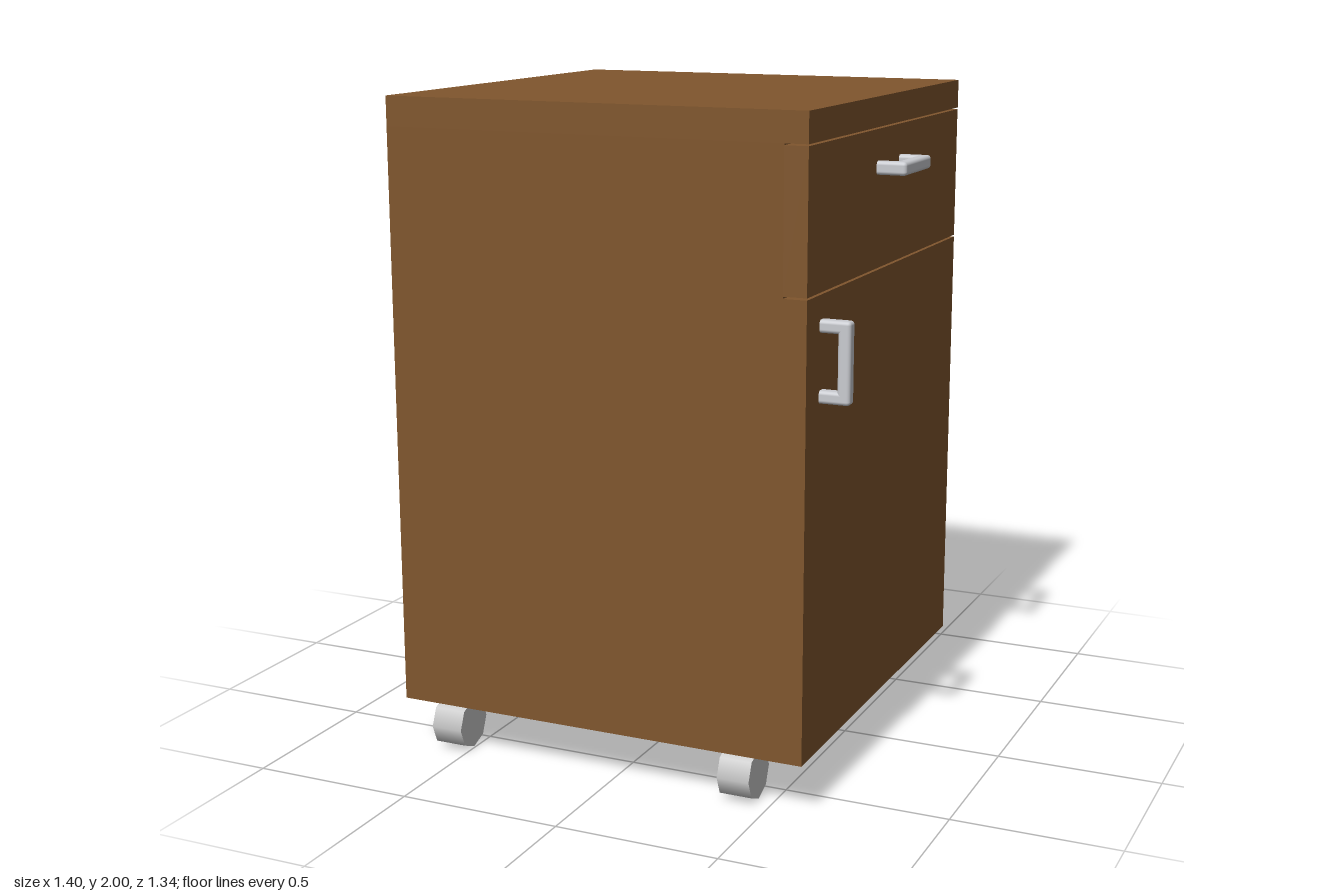
import * as THREE from 'three';
import { RoundedBoxGeometry } from 'three/addons/geometries/RoundedBoxGeometry.js';

const wood = new THREE.MeshStandardMaterial({ color: 0x80562d });
wood.name = 'brown wood';
const metal = new THREE.MeshStandardMaterial({ color: 0xc9cbd0 });
metal.name = 'handle metal';
const castor = new THREE.MeshStandardMaterial({ color: 0xc9c9c9 });
castor.name = 'castor grey';

// Box given by its lower and upper corners
function box(name, [x0, y0, z0], [x1, y1, z1], material, radius = 0) {
  const size = [x1 - x0, y1 - y0, z1 - z0];
  const geometry = radius
    ? new RoundedBoxGeometry(...size, 3, radius)
    : new THREE.BoxGeometry(...size);
  const mesh = new THREE.Mesh(geometry, material);
  mesh.name = name;
  mesh.position.set((x0 + x1) / 2, (y0 + y1) / 2, (z0 + z1) / 2);
  return mesh;
}

// Bracket handle along z: a grip bar on two posts, its base at x = 0
function handle(name) {
  const group = new THREE.Group();
  group.name = name;
  const half = 0.118, t = 0.02, r = 0.011;
  group.add(box('grip', [0.052, -t, -half], [0.09, t, half], metal, r));
  for (const s of [-1, 1]) {
    const a = s * half, b = s * (half - 0.037);
    group.add(box('post', [-0.012, -t, Math.min(a, b)], [0.088, t, Math.max(a, b)], metal, r));
  }
  return group;
}

export function createModel() {
  const model = new THREE.Group();
  model.name = 'rollingCabinet';
  const bottom = 0.155, front = 0.61, seam = 0.54, back = -0.7;

  // Carcass with a top that overhangs one side by a hair
  model.add(box('carcass', [back, bottom, -0.656], [seam, 1.912, 0.662], wood));
  model.add(box('top', [back, 1.912, -0.662], [front, 2, 0.662], wood));

  // Drawer front and door, separated by narrow gaps
  model.add(box('drawerFront', [seam, 1.5, -0.66], [front, 1.907, 0.662], wood));
  model.add(box('door', [seam, bottom, -0.66], [front, 1.494, 0.662], wood));

  // Handles: level on the drawer, upright on the door
  const drawerHandle = handle('drawerHandle');
  drawerHandle.position.set(front, 1.795, 0);
  const doorHandle = handle('doorHandle');
  doorHandle.rotation.x = Math.PI / 2;
  doorHandle.position.set(front, 1.307, 0.545);
  model.add(drawerHandle, doorHandle);

  // Four eight-sided castors with their axles along x
  const wheel = new THREE.CylinderGeometry(0.0775, 0.0775, 0.1, 8).rotateZ(Math.PI / 2);
  for (const x of [-0.555, 0.4]) {
    for (const z of [-0.59, 0.59]) {
      const mesh = new THREE.Mesh(wheel, castor);
      mesh.name = 'castor';
      mesh.position.set(x, 0.0775, z);
      model.add(mesh);
    }
  }
  return model;
}
